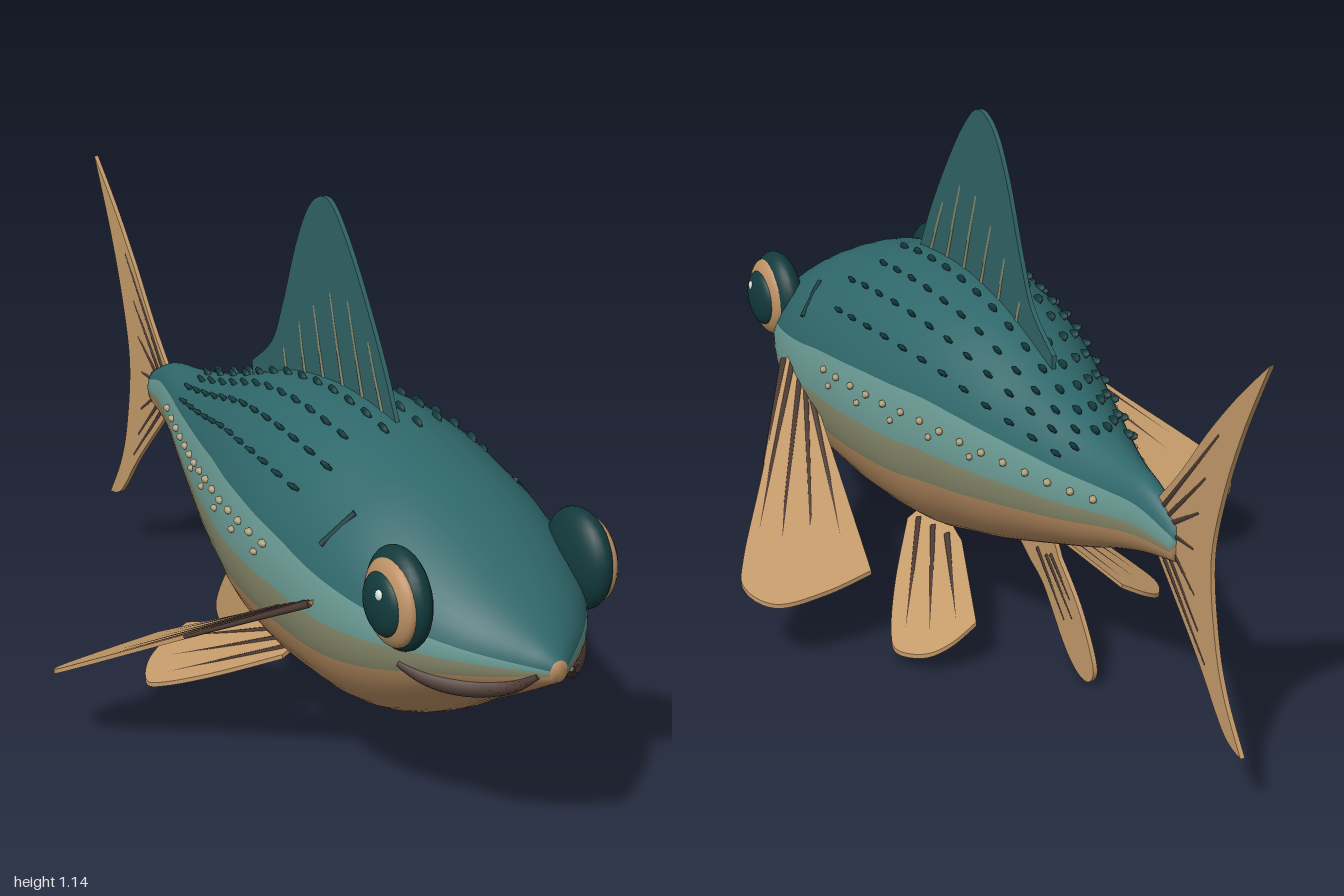
import * as THREE from 'three';
import { mergeGeometries } from 'three/addons/utils/BufferGeometryUtils.js';

const mat = (name, color, side = THREE.FrontSide) => {
  const m = new THREE.MeshStandardMaterial({ color, side });
  m.name = name;
  return m;
};
const V = (x, y, z) => new THREE.Vector3(x, y, z);

// Body sections every 0.1 from z = 1 back to z = -0.7: [top, bottom, half width]
const sections = new THREE.CatmullRomCurve3([
  [.455, .41, .02], [.53, .35, .13], [.59, .295, .2], [.645, .235, .245], [.69, .19, .27], [.72, .167, .28],
  [.745, .16, .281], [.757, .16, .28], [.76, .163, .268], [.752, .175, .25], [.735, .205, .225], [.705, .235, .197],
  [.67, .272, .165], [.64, .31, .133], [.612, .348, .1], [.593, .39, .068], [.578, .425, .042], [.53, .45, .02],
].map(p => V(...p)), false, 'catmullrom', 0.5);
const section = z => {
  const s = sections.getPoint(THREE.MathUtils.clamp((1 - z) / 1.7, 0, 1));
  return { mid: (s.x + s.y) / 2, half: (s.x - s.y) / 2, width: s.z };
};
// Point on the +x flank; angle runs from pi/2 (back) to -pi/2 (belly)
const skin = (z, angle, off = 0) => {
  const s = section(z);
  return V((s.width + off) * Math.cos(angle), s.mid + (s.half + off) * Math.sin(angle), z);
};
const skinAtHeight = (z, y, off) => {
  const s = section(z);
  return skin(z, Math.asin(THREE.MathUtils.clamp((y - s.mid) / s.half, -1, 1)), off);
};

// Closed skin with four lengthwise colour bands
function bodyGeometry() {
  const rows = 68, counts = [9, 3, 3, 9], half = 24, cols = half * 2;
  const pos = [], bands = [[], [], [], []], bandOf = [];
  counts.forEach((n, b) => { for (let k = 0; k < n; k++) bandOf.push(b); });
  for (let i = 0; i <= rows; i++) {
    const f = i / rows, z = 1 - 1.7 * f;
    const edges = [Math.PI / 2, Math.asin(.2 + .3 * f), Math.asin(-.03 - .04 * f), Math.asin(-.33 - .05 * f), -Math.PI / 2];
    const angles = [];
    counts.forEach((n, b) => {
      for (let k = 0; k < n; k++) angles.push(THREE.MathUtils.lerp(edges[b], edges[b + 1], k / n));
    });
    angles.push(-Math.PI / 2);
    for (let j = 0; j < cols; j++) {
      const p = skin(z, angles[j <= half ? j : cols - j]);
      pos.push(j <= half ? p.x : -p.x, p.y, z);
    }
  }
  const nose = pos.length / 3, tail = nose + 1;
  pos.push(0, section(1).mid, 1.002, 0, section(-.7).mid, -.702);
  for (let j = 0; j < cols; j++) {
    const k = (j + 1) % cols, band = bands[bandOf[j < half ? j : cols - 1 - j]];
    for (let i = 0; i < rows; i++) {
      const a = i * cols, b = a + cols;
      band.push(a + j, a + k, b + j, a + k, b + k, b + j);
    }
    bands[3].push(nose, k, j);
    band.push(tail, rows * cols + j, rows * cols + k);
  }
  const g = new THREE.BufferGeometry();
  g.setAttribute('position', new THREE.Float32BufferAttribute(pos, 3));
  g.setIndex(bands.flat());
  let start = 0;
  bands.forEach((b, i) => { g.addGroup(start, b.length, i); start += b.length; });
  g.computeVertexNormals();
  return g;
}

// Thin fin from spline runs joined at corners, placed in space by a map (u, v, d) -> point
const THICK = 0.01;
function finGeometry(start, runs, map) {
  const shape = new THREE.Shape();
  shape.moveTo(...start);
  runs.forEach(run => shape.splineThru(run.map(p => new THREE.Vector2(...p))));
  const g = new THREE.ExtrudeGeometry(shape, { depth: THICK, bevelEnabled: false, curveSegments: 10 });
  const p = g.attributes.position;
  for (let i = 0; i < p.count; i++) {
    const q = map(p.getX(i), p.getY(i), p.getZ(i) - THICK / 2);
    p.setXYZ(i, q.x, q.y, q.z);
  }
  g.computeVertexNormals();
  return g;
}

// Tapering fin ray between two points
function rod(a, b, r0, r1) {
  const dir = b.clone().sub(a), g = new THREE.CylinderGeometry(r1, r0, dir.length(), 6);
  g.applyQuaternion(new THREE.Quaternion().setFromUnitVectors(V(0, 1, 0), dir.normalize()));
  return g.translate(...a.clone().add(b).multiplyScalar(.5).toArray());
}

export function createModel() {
  const model = new THREE.Group();
  model.name = 'fish';
  const backTeal = mat('back teal', 0x2f676a), sideTeal = mat('side teal', 0x6a9a93), olive = mat('flank olive', 0x87896b);
  const tan = mat('belly tan', 0xbd9164), finTan = mat('fin tan', 0xc49a69, THREE.DoubleSide);
  const finTeal = mat('fin teal', 0x2f6366, THREE.DoubleSide), dark = mat('dark teal', 0x123a3c);
  const brown = mat('dark brown', 0x4d3b34), bead = mat('bead sand', 0xb5a580), white = mat('eye glint', 0xd8e4de);
  const add = (name, geometry, material, parent = model) => {
    const m = new THREE.Mesh(geometry, material);
    m.name = name;
    parent.add(m);
    return m;
  };

  add('body', bodyGeometry(), [backTeal, sideTeal, olive, tan]);

  const addFin = (name, start, runs, map, skinMat, rays, rayMat, parent = model) => {
    add(name, finGeometry(start, runs, map), skinMat, parent);
    add(name + 'Rays', mergeGeometries(rays.map(([a, b, c, d]) => rod(map(a, b, 0), map(c, d, 0), .0085, .004))), rayMat, parent);
  };

  // Upright fins, drawn as (z, y)
  const upright = (u, v, d) => V(d, v, u);
  addFin('dorsalFin', [.42, .72],
    [[[.36, .84], [.28, .97], [.2, 1.08], [.13, 1.14], [.06, 1.115], [0, 1.02], [-.06, .87], [-.11, .77], [-.2, .7]], [[-.2, .64]], [[.42, .7]]],
    upright, finTeal,
    [[.36, .74, .255, .97], [.28, .75, .17, 1.07], [.2, .75, .1, 1.07], [.12, .74, .04, 1.0], [.04, .73, -.01, .92], [-.04, .71, -.07, .81]], olive);
  addFin('tailFin', [-.6, .53],
    [[[-.7, .64], [-.8, .77], [-.9, .885], [-1, .985]], [[-.92, .82], [-.86, .66], [-.828, .51], [-.85, .35], [-.89, .24], [-.955, .14]],
      [[-.89, .165], [-.78, .29], [-.6, .47]]],
    upright, finTan,
    [[-.64, .54, -.97, .94], [-.66, .53, -.89, .77], [-.67, .52, -.85, .64], [-.67, .505, -.825, .51],
      [-.66, .49, -.845, .36], [-.65, .48, -.88, .25], [-.63, .47, -.94, .155]], brown);
  addFin('analFin', [-.02, .24],
    [[[-.1, .19], [-.17, .15], [-.26, .05], [-.32, .01], [-.37, .012], [-.385, .06], [-.32, .165], [-.235, .245]], [[-.2, .3]]],
    upright, finTan,
    [[-.14, .23, -.34, .03], [-.18, .23, -.37, .06], [-.2, .24, -.34, .12]], brown);

  // Row of scales lying on the skin, slightly sunk
  const scaleRow = (angle, from, to, step, size) => {
    const list = [];
    for (let z = from; z > to; z -= step) {
      const p = skin(z, angle, .002);
      list.push(new THREE.SphereGeometry(1, 6, 4).scale(...size).rotateX(.25).rotateZ(angle - Math.PI / 2).translate(p.x, p.y, p.z));
    }
    return list;
  };

  const buildSide = () => {
    const side = new THREE.Group();

    // Paired fins, drawn as (x, z) on a sloping plane
    addFin('pectoralFin', [.24, .55],
      [[[.29, .555]], [[.44, .32], [.58, .12], [.608, .05], [.56, -.01], [.45, -.02], [.34, -.01]], [[.27, .4]], [[.22, .42]]],
      (u, v, d) => V(u, .236 - .12 * u + .47 * v + d, v), finTan,
      [[.27, .54, .57, .1], [.27, .5, .54, .04], [.27, .47, .46, .03], [.27, .44, .38, .03], [.285, .555, .44, .32]], brown, side);
    addFin('pelvicFin', [.08, .2],
      [[[.15, .2]], [[.245, .07], [.31, -.04], [.325, -.1], [.29, -.165], [.24, -.19], [.18, -.19]], [[.1, .03]]],
      (u, v, d) => V(u, .24 - .585 * u + .13 * v + d, v), finTan,
      [[.13, .18, .3, -.09], [.12, .13, .265, -.14], [.11, .08, .21, -.16]], brown, side);

    // Eye: dark bulge, pale ring, pupil, glint
    const eye = new THREE.Group();
    eye.name = 'eye';
    side.add(eye);
    [['eyeRim', dark, .205, .535, .76, .046, .104, .1], ['eyeRing', tan, .226, .533, .766, .032, .089, .087],
      ['pupil', dark, .243, .533, .766, .026, .065, .065], ['glint', white, .261, .56, .783, .008, .012, .012]]
      .forEach(([name, m, x, y, z, a, b, c]) => add(name, new THREE.SphereGeometry(1, 28, 18).scale(a, b, c).translate(x, y, z), m, eye));

    // Mouth line, thickest in the middle
    const lip = [[.985, .425], [.95, .4], [.9, .383], [.85, .38], [.81, .387], [.77, .405]].map(([z, y]) => skinAtHeight(z, y, .002));
    const path = new THREE.CatmullRomCurve3(lip), beads = [];
    for (let i = 0; i < 20; i++) {
      const r = t => .006 + .013 * Math.sin(Math.PI * t);
      beads.push(rod(path.getPoint(i / 20), path.getPoint((i + 1.1) / 20), r(i / 20), r((i + 1) / 20)));
    }
    add('mouth', mergeGeometries(beads), brown, side);

    // Gill mark, back scales and flank beads
    add('gillMark', rod(skinAtHeight(.56, .635, 0), skinAtHeight(.53, .57, 0), .007, .007), dark, side);
    const scales = [[82, .42], [67, .38], [53, .42], [38, .38]]
      .flatMap(([deg, from]) => scaleRow(deg * Math.PI / 180, from, -.42, .068, [.006, .011, .02]));
    add('backScales', mergeGeometries(scales), dark, side);
    add('flankBeads', mergeGeometries([...scaleRow(.2, .35, -.5, .06, [.009, .008, .012]), ...scaleRow(.1, .32, -.2, .12, [.008, .007, .01])]), bead, side);
    return side;
  };

  const left = buildSide(), right = buildSide();
  left.name = 'leftSide';
  right.name = 'rightSide';
  right.scale.x = -1;
  model.add(left, right);
  return model;
}
